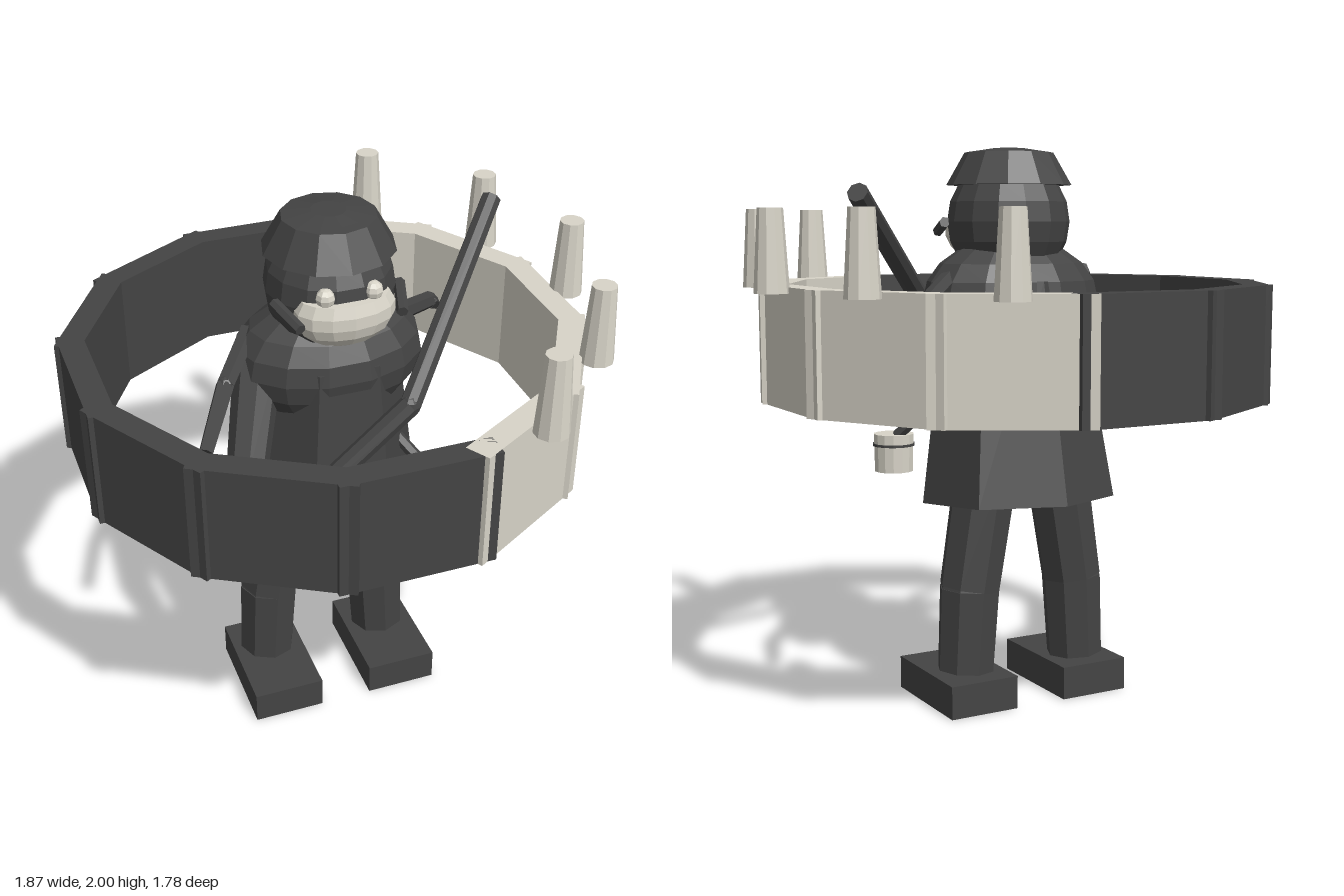
import * as THREE from 'three';

const dark = new THREE.MeshStandardMaterial({ color: 0x444444, flatShading: true });
dark.name = 'charcoal';
const light = new THREE.MeshStandardMaterial({ color: 0xd8d4c8, flatShading: true });
light.name = 'bone';

const CX = -0.045; // axis of the figure and of the ring

export function createModel() {
  const model = new THREE.Group();
  model.name = 'figureInRing';

  const add = (name, geometry, material, x = 0, y = 0, z = 0) => {
    const mesh = new THREE.Mesh(geometry, material);
    mesh.name = name;
    mesh.position.set(x, y, z);
    model.add(mesh);
    return mesh;
  };
  const ball = (rx, ry, rz, w, h) => new THREE.SphereGeometry(1, w, h).scale(rx, ry, rz);

  // Tapered rods through a list of [x, y, z, radius], with a ball at each bend
  const limb = (name, points, sides = 8) => {
    for (let i = 0; i + 1 < points.length; i++) {
      const a = new THREE.Vector3(...points[i]);
      const b = new THREE.Vector3(...points[i + 1]);
      const dir = b.clone().sub(a);
      const rod = add(name, new THREE.CylinderGeometry(points[i + 1][3], points[i][3], dir.length(), sides), dark);
      rod.position.copy(a).lerp(b, 0.5);
      rod.quaternion.setFromUnitVectors(new THREE.Vector3(0, 1, 0), dir.normalize());
      if (i > 0) {
        const r = points[i][3] * 0.98;
        add(name + 'Joint', ball(r, r, r, sides, 6), dark, a.x, a.y, a.z);
      }
    }
  };

  // Ring of twelve overlapping panels; the five on the left side are pale and carry pegs
  for (let i = 0; i < 12; i++) {
    const k = i > 6 ? i - 12 : i;
    const angle = (k * Math.PI) / 6;
    const pale = Math.abs(k) <= 2;
    const at = (r) => [CX + r * Math.cos(angle), r * Math.sin(angle)];
    const [x, z] = at(0.8325);
    const panel = add(pale ? 'palePanel' : 'darkPanel', new THREE.BoxGeometry(0.09, 0.415, 0.53),
      pale ? light : dark, x, 1.3175, z);
    panel.rotation.y = -angle;
    if (pale) {
      const [px, pz] = at(0.925);
      add('peg', new THREE.CylinderGeometry(0.043, 0.06, 0.28, 10), light, px, 1.645, pz);
    }
  }

  // Feet and legs
  for (const s of [-1, 1]) {
    add('foot', new THREE.BoxGeometry(0.265, 0.12, 0.425), dark, CX + s * 0.23, 0.06, 0.02);
    limb('leg', [
      [CX + s * 0.232, 0.13, -0.045, 0.105],
      [CX + s * 0.215, 0.43, -0.045, 0.112],
      [CX + s * 0.145, 0.86, -0.045, 0.118],
    ], 8);
  }

  // Seven-sided robe, leaning slightly forward, point of the polygon at the back
  const robe = add('robe', new THREE.CylinderGeometry(0.24, 0.355, 0.78, 7).rotateY(Math.PI), dark, CX, 1.128, 0.011);
  robe.rotation.x = 0.066;

  // Shoulders and head
  add('shoulders', ball(0.34, 0.226, 0.24, 14, 10), dark, CX, 1.46, 0.03);
  add('head', ball(0.222, 0.23, 0.222, 14, 10), dark, CX, 1.74, 0.05);

  // Hat with sloping brim and low crown
  const hat = [[0, 1.87], [0.226, 1.87], [0.16, 1.985], [0.125, 1.99], [0.06, 2], [0, 2]]
    .map(([r, y]) => new THREE.Vector2(r, y));
  add('hat', new THREE.LatheGeometry(hat, 12), dark, CX, 0, 0.048);

  // Muzzle: an ellipsoid cut flat at the top
  const muzzle = [];
  for (let i = 0; i <= 6; i++) {
    const t = Math.PI - (i / 6) * Math.PI * (2 / 3);
    muzzle.push(new THREE.Vector2(Math.sin(t), Math.cos(t)));
  }
  muzzle.push(new THREE.Vector2(0, 0.5));
  add('muzzle', new THREE.LatheGeometry(muzzle, 14).scale(0.175, 0.12, 0.11), light, CX, 1.71, 0.2);

  // Eyes and cheek bars
  for (const s of [-1, 1]) {
    add('eye', ball(0.033, 0.033, 0.033, 8, 6), light, CX + s * 0.082, 1.79, 0.245);
    limb('cheekBar', [
      [CX + s * 0.175, 1.705, 0.27, 0.02],
      [CX + s * 0.218, 1.738, 0.13, 0.02],
    ], 6);
  }

  // Right arm hanging from the shoulder to the lower end of the staff
  limb('rightArm', [
    [-0.29, 1.5, 0.03, 0.085],
    [-0.41, 1.16, 0.24, 0.07],
    [-0.415, 0.99, 0.34, 0.06],
    [-0.36, 0.99, 0.36, 0.045],
  ]);

  // Staff crossing the chest and rising behind the left shoulder
  limb('staff', [
    [-0.39, 0.965, 0.36, 0.038],
    [0.13, 1.4, 0.36, 0.038],
    [0.64, 1.835, -0.165, 0.036],
  ]);

  // Drooping ribbons at both shoulders
  limb('leftRibbon', [[0.22, 1.54, 0.0, 0.035], [0.43, 1.45, -0.2, 0.032], [0.53, 1.33, -0.37, 0.025]], 6);
  limb('rightRibbon', [[-0.31, 1.56, -0.02, 0.035], [-0.45, 1.49, 0.17, 0.032], [-0.57, 1.36, 0.34, 0.025]], 6);

  // Cup on a short stick
  limb('cupStick', [[0.12, 1.2, 0.08, 0.022], [0.31, 0.955, 0.26, 0.022]], 6);
  add('cup', new THREE.CylinderGeometry(0.075, 0.072, 0.14, 14), light, 0.31, 0.89, 0.29);
  add('cupBand', new THREE.CylinderGeometry(0.079, 0.079, 0.009, 14), dark, 0.31, 0.92, 0.29);

  return model;
}
